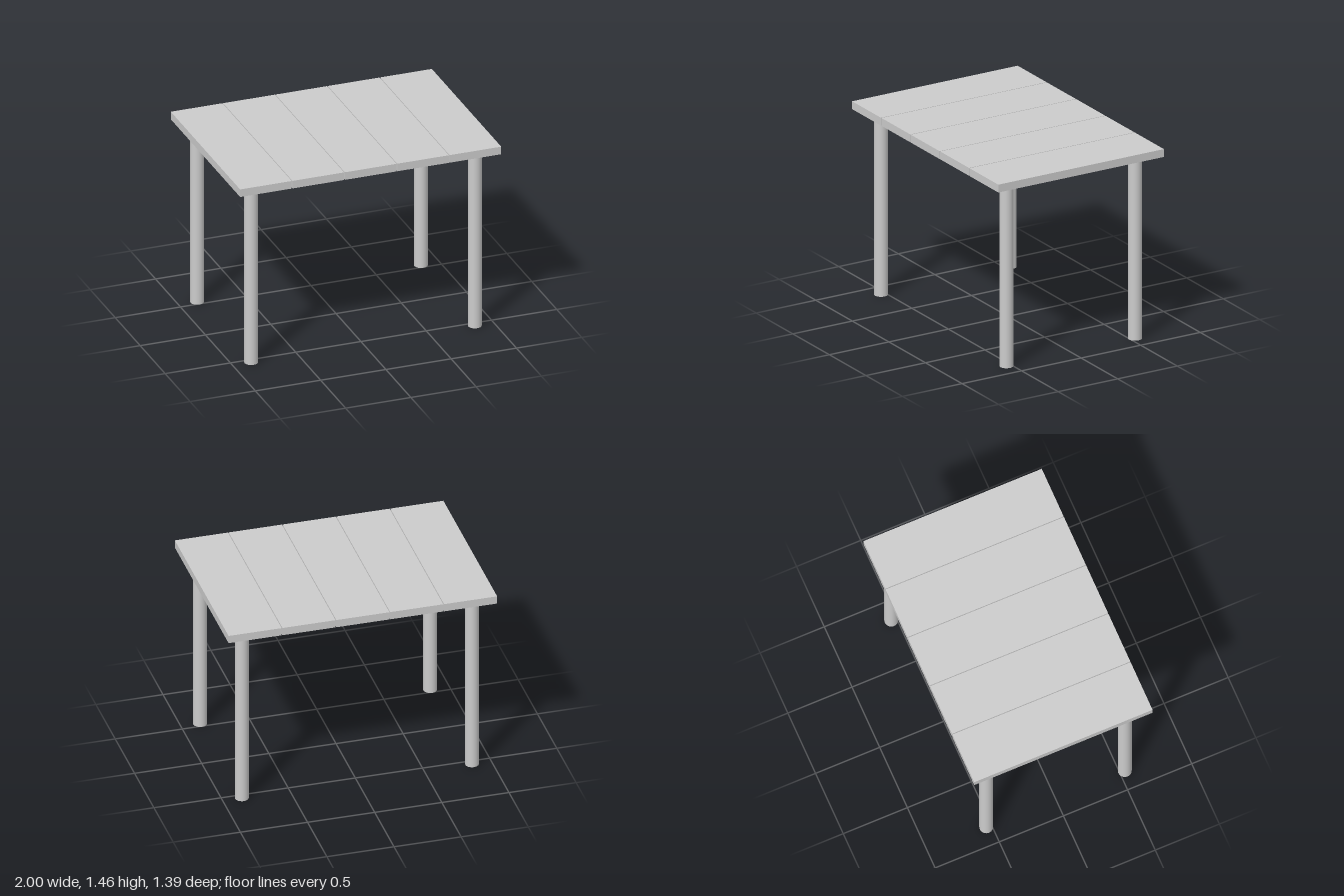
import * as THREE from 'three';

const LEG_HEIGHT = 1.4;
const TOP_THICKNESS = 0.06;
const TOP_DEPTH = 1.39;
const PLANKS = 5;
const GAP = 0.006;

export function createModel() {
  const table = new THREE.Group();
  table.name = 'table';
  const material = new THREE.MeshStandardMaterial({ color: 0xcccccc });

  // Table top: planks side by side with narrow gaps
  const top = new THREE.Group();
  top.name = 'tableTop';
  const plankWidth = (2 - GAP * (PLANKS - 1)) / PLANKS;
  const plankGeometry = new THREE.BoxGeometry(plankWidth, TOP_THICKNESS, TOP_DEPTH);
  for (let i = 0; i < PLANKS; i++) {
    const plank = new THREE.Mesh(plankGeometry, material);
    plank.name = `plank${i + 1}`;
    plank.position.set(
      -1 + plankWidth / 2 + i * (plankWidth + GAP),
      LEG_HEIGHT + TOP_THICKNESS / 2,
      0
    );
    top.add(plank);
  }
  table.add(top);

  // Four round legs, set in from the corners
  const legGeometry = new THREE.CylinderGeometry(0.05, 0.05, LEG_HEIGHT, 32);
  for (const [endName, z] of [['front', 0.54], ['back', -0.54]]) {
    for (const [sideName, x] of [['Left', 0.857], ['Right', -0.857]]) {
      const leg = new THREE.Mesh(legGeometry, material);
      leg.name = `${endName}${sideName}Leg`;
      leg.position.set(x, LEG_HEIGHT / 2, z);
      table.add(leg);
    }
  }

  return table;
}
